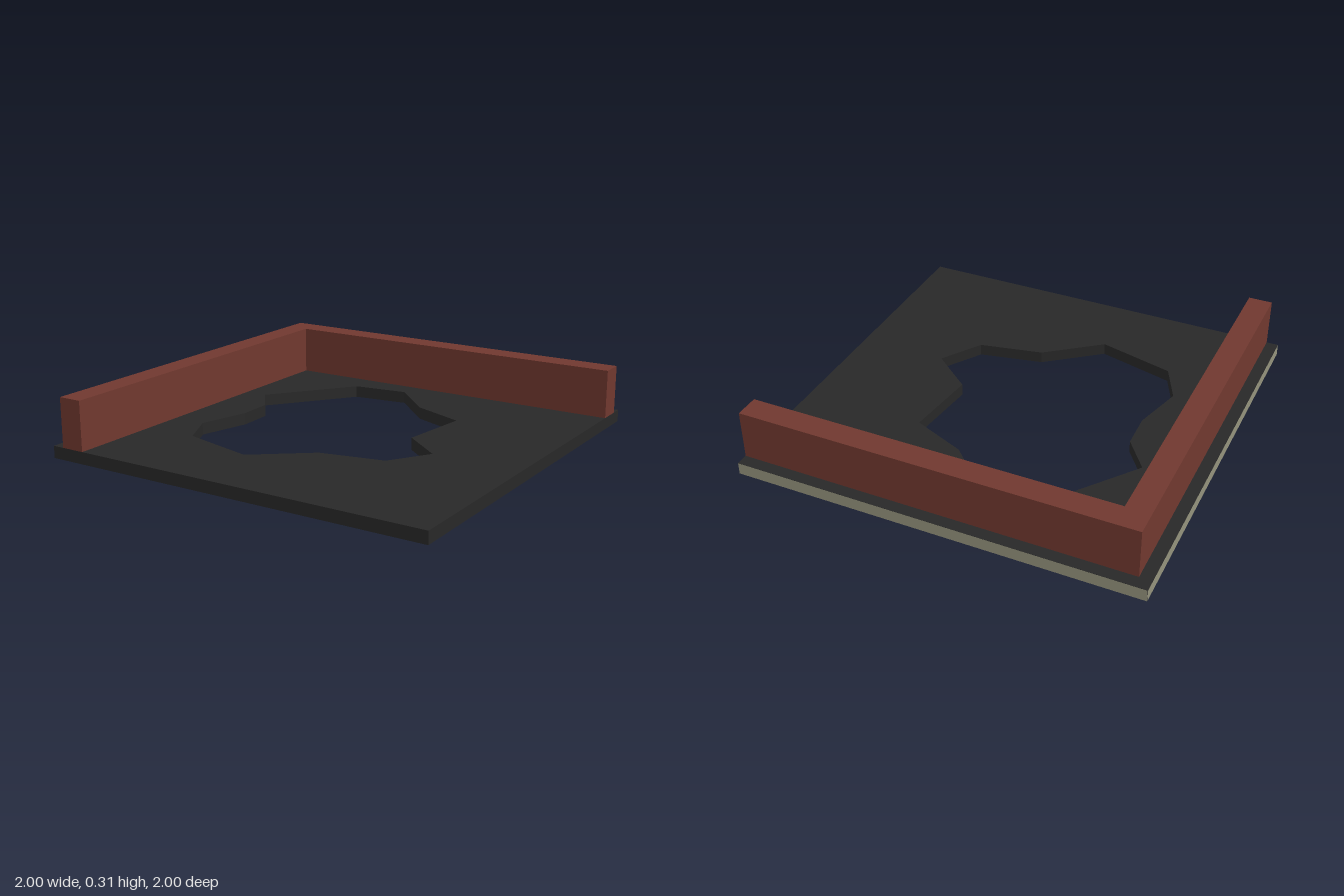
import * as THREE from 'three';

const T = 0.06; // floor thickness
const WALL_TOP = 0.305;

const floorMat = new THREE.MeshStandardMaterial({ color: 0x282828 });
floorMat.name = 'charcoal floor';
const wallMat = new THREE.MeshStandardMaterial({ color: 0x70382f });
wallMat.name = 'brick red wall';
const edgeMat = new THREE.MeshStandardMaterial({ color: 0x94927c });
edgeMat.name = 'stone edge';

// Plan outlines are [x, z] pairs; the shape's y is -z.
const toPoints = (plan) => plan.map(([x, z]) => new THREE.Vector2(x, -z));

// Raise a plan shape from y0 to y1.
function raise(shape, y0, y1) {
  const geo = new THREE.ExtrudeGeometry(shape, { depth: y1 - y0, bevelEnabled: false });
  geo.rotateX(-Math.PI / 2);
  geo.translate(0, y0, 0);
  return geo;
}

function add(group, name, geo, mat) {
  const mesh = new THREE.Mesh(geo, mat);
  mesh.name = name;
  group.add(mesh);
  return mesh;
}

export function createModel() {
  const model = new THREE.Group();
  model.name = 'brokenFloorCorner';

  // Floor slab with a jagged hole; the outer outline runs anticlockwise so the hole's sides face inward
  const slab = new THREE.Shape(toPoints([[-1, 1], [1, 1], [1, -1], [-1, -1]]));
  slab.holes.push(new THREE.Path(toPoints([
    [-0.385, -0.675], [-0.1, -0.71], [0.12, -0.49], [0.39, -0.38], [0.345, -0.01],
    [0.55, 0.155], [0.42, 0.355], [0.1, 0.42], [-0.17, 0.63], [-0.555, 0.53],
    [-0.65, 0.335], [-0.58, 0.08], [-0.585, -0.1], [-0.705, -0.26],
  ])));
  add(model, 'floor', raise(slab, 0, T), floorMat);

  // L-shaped low wall along the back and one side
  const wall = new THREE.Shape(toPoints([
    [-0.94, -0.94], [-0.94, 1], [-0.82, 1], [-0.82, -0.82], [1, -0.82], [1, -0.94],
  ]));
  add(model, 'cornerWall', raise(wall, T, WALL_TOP), wallMat);

  // Stone facing on the two outer floor edges
  const back = add(model, 'backEdge', new THREE.PlaneGeometry(2, T), edgeMat);
  back.rotation.y = Math.PI;
  back.position.set(0, T / 2, -1.001);
  const side = add(model, 'sideEdge', new THREE.PlaneGeometry(2, T), edgeMat);
  side.rotation.y = -Math.PI / 2;
  side.position.set(-1.001, T / 2, 0);

  return model;
}
